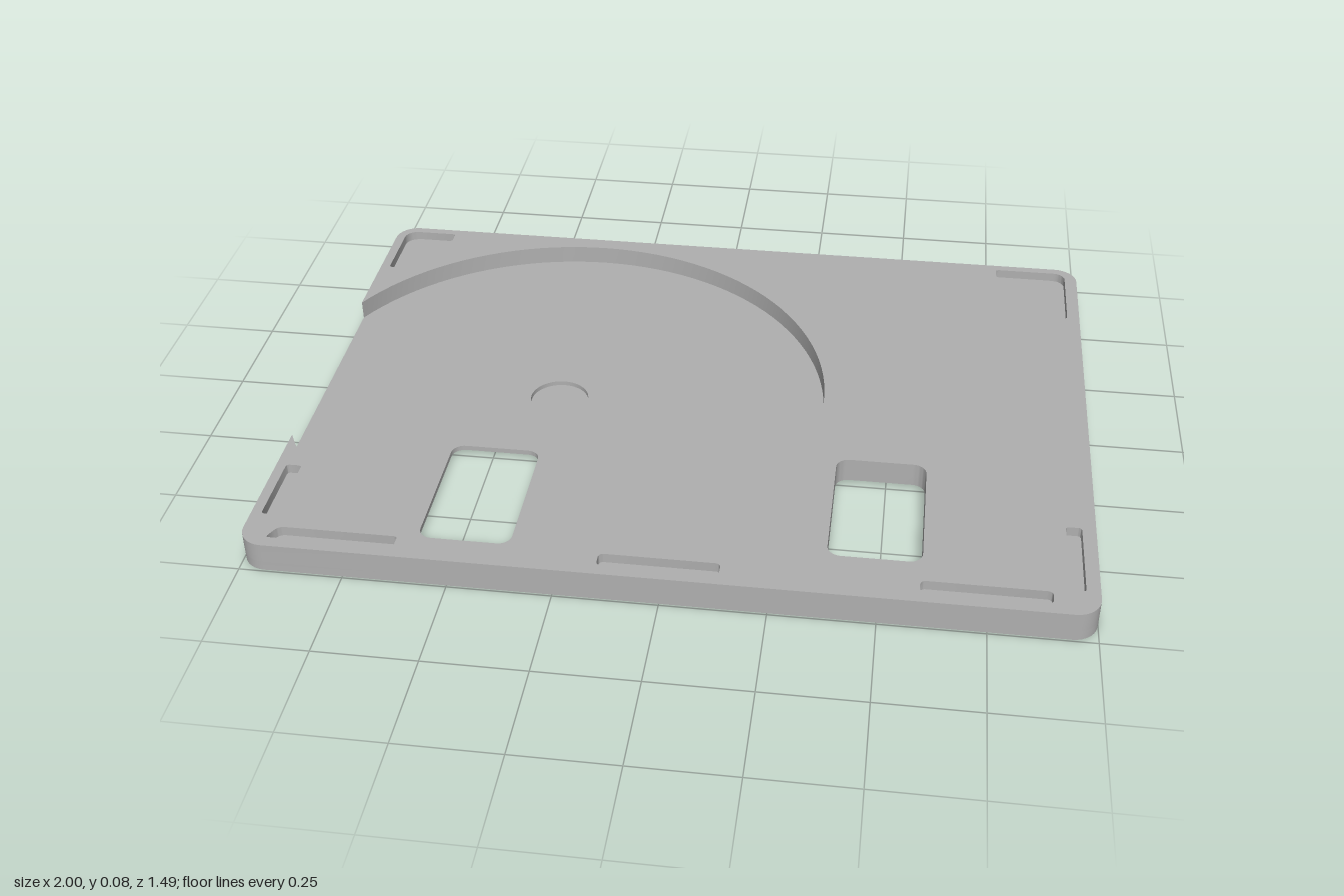
import * as THREE from 'three';
import { toCreasedNormals } from 'three/addons/utils/BufferGeometryUtils.js';

const TOP = 0.075, RECESS = 0.025, HUB = 0.013, SLOT = 0.05, LEDGE = 0.012;

// Remove doubled points and make the loop counter-clockwise (plan coordinates: x, -z)
function clean(points) {
  const out = points.filter((p, i) => p.distanceTo(points[(i + 1) % points.length]) > 1e-5);
  return THREE.ShapeUtils.isClockWise(out) ? out.reverse() : out;
}

// Polygon with rounded corners, given as [x, z, radius]
function rounded(corners) {
  const path = new THREE.Path();
  const k = 0.4477;
  corners.forEach(([x, z, r], i) => {
    const n = corners.length;
    const c = new THREE.Vector2(x, -z);
    const toward = (q, d) => {
      const v = new THREE.Vector2(q[0], -q[1]).sub(c).setLength(d);
      return v.add(c);
    };
    const prev = corners[(i + n - 1) % n], next = corners[(i + 1) % n];
    const a = toward(prev, r), b = toward(next, r);
    const ca = toward(prev, r * k), cb = toward(next, r * k);
    if (i === 0) path.moveTo(a.x, a.y);
    else path.lineTo(a.x, a.y);
    path.bezierCurveTo(ca.x, ca.y, cb.x, cb.y, b.x, b.y);
  });
  path.closePath();
  return clean(path.getPoints(8));
}

const rect = (x0, x1, z0, z1, r) => rounded([[x0, z0, r], [x1, z0, r], [x1, z1, r], [x0, z1, r]]);

function arc(cx, r, a0, a1, n) {
  return Array.from({ length: n + 1 }, (_, i) => {
    const a = a0 + (a1 - a0) * i / n;
    return new THREE.Vector2(cx + r * Math.cos(a), r * Math.sin(a));
  });
}

// Flat horizontal face with holes
function face(loop, holes, y, down = false) {
  const shape = new THREE.Shape(loop);
  shape.holes = holes.map((h) => new THREE.Path(h));
  const g = new THREE.ShapeGeometry(shape);
  g.rotateX(down ? Math.PI / 2 : -Math.PI / 2);
  if (down) g.scale(1, 1, 1);
  g.translate(0, y, 0);
  return g;
}

// Downward face: mirror the loops so the turned shape keeps its place
const flip = (loop) => loop.map((p) => new THREE.Vector2(p.x, -p.y)).reverse();
const faceDown = (loop, holes, y) => face(flip(loop), holes.map(flip), y, true);

// Vertical wall along a closed loop, facing outward or, for a hole, inward
function wall(loop, y0, y1, inward = false) {
  const pts = inward ? [...loop].reverse() : loop;
  const pos = [];
  pts.forEach((p, i) => {
    const q = pts[(i + 1) % pts.length];
    pos.push(p.x, y0, -p.y, q.x, y0, -q.y, q.x, y1, -q.y);
    pos.push(p.x, y0, -p.y, q.x, y1, -q.y, p.x, y1, -p.y);
  });
  const g = new THREE.BufferGeometry();
  g.setAttribute('position', new THREE.Float32BufferAttribute(pos, 3));
  return toCreasedNormals(g, 0.6);
}

export function createModel() {
  const model = new THREE.Group();
  model.name = 'tray';
  const grey = new THREE.MeshStandardMaterial({ color: 0xb0b0b0 });
  grey.name = 'light grey';
  const add = (name, geometry) => {
    const mesh = new THREE.Mesh(geometry, grey);
    mesh.name = name;
    model.add(mesh);
  };

  // Plan outlines
  const D = 0.745, R = 0.06, cx = -0.375, r = 0.7;
  const outline = rect(-1, 1, -D, D, R);
  const a = Math.acos((-1 - cx) / r);
  const disc = clean(arc(cx, r, -a, a, 96));
  const hub = clean(arc(cx, 0.076, 0, Math.PI * 2, 40));
  const leftEdge = r * Math.sin(a);

  // Rim outline: plate minus the round recess that breaks through one side
  const start = outline.reduce((best, p, i) =>
    (p.x < -0.9999 && p.y < 0 && (best < 0 || p.y > outline[best].y) ? i : best), -1);
  const ordered = [...outline.slice(start), ...outline.slice(0, start)];
  const rim = clean([new THREE.Vector2(-1, -leftEdge), ...ordered, ...arc(cx, r, a, -a, 96)]);

  // Windows with a wider rebate underneath
  const windows = [[-0.603, -0.378], [0.375, 0.597]].map(([x0, x1]) => ({
    hole: rect(x0, x1, 0.24, 0.61, 0.032),
    rebate: rect(x0 - 0.028, x1 + 0.028, 0.212, 0.638, 0.04),
  }));

  // Shallow slots around the border
  const e = 0.008;
  const slots = [
    rounded([[-0.975, -0.722, 0.035], [-0.83, -0.722, e], [-0.83, -0.682, e],
      [-0.937, -0.682, e], [-0.937, -0.515, e], [-0.975, -0.515, e]]),
    rounded([[0.773, -0.722, e], [0.967, -0.722, 0.03], [0.967, -0.485, e],
      [0.929, -0.485, e], [0.929, -0.682, e], [0.773, -0.682, e]]),
    rect(-0.975, -0.937, 0.437, 0.63, e),
    rounded([[0.929, 0.437, e], [0.967, 0.437, e], [0.967, 0.664, e], [0.929, 0.652, e]]),
    rounded([[-0.918, 0.673, 0.015], [-0.63, 0.673, e], [-0.63, 0.714, e], [-0.937, 0.714, e]]),
    rect(-0.15, 0.135, 0.673, 0.714, 0.012),
    rect(0.594, 0.893, 0.673, 0.714, 0.012),
  ];

  // Plate
  add('underside', faceDown(outline, windows.map((w) => w.rebate), 0));
  add('lowerEdge', wall(outline, 0, RECESS));
  add('rimWall', wall(rim, RECESS, TOP));
  add('rimTop', face(rim, [windows[1].hole, ...slots], TOP));

  // Round recess and its central hub pocket
  add('recessFloor', face(disc, [windows[0].hole, hub], RECESS));
  add('hubWall', wall(hub, HUB, RECESS, true));
  add('hubFloor', face(hub, [], HUB));

  windows.forEach((w, i) => {
    add('windowWall', wall(w.hole, LEDGE, i === 0 ? RECESS : TOP, true));
    add('windowLedge', faceDown(w.rebate, [w.hole], LEDGE));
    add('windowRebateWall', wall(w.rebate, 0, LEDGE, true));
  });

  slots.forEach((s) => {
    add('slotWall', wall(s, SLOT, TOP, true));
    add('slotFloor', face(s, [], SLOT));
  });

  return model;
}
